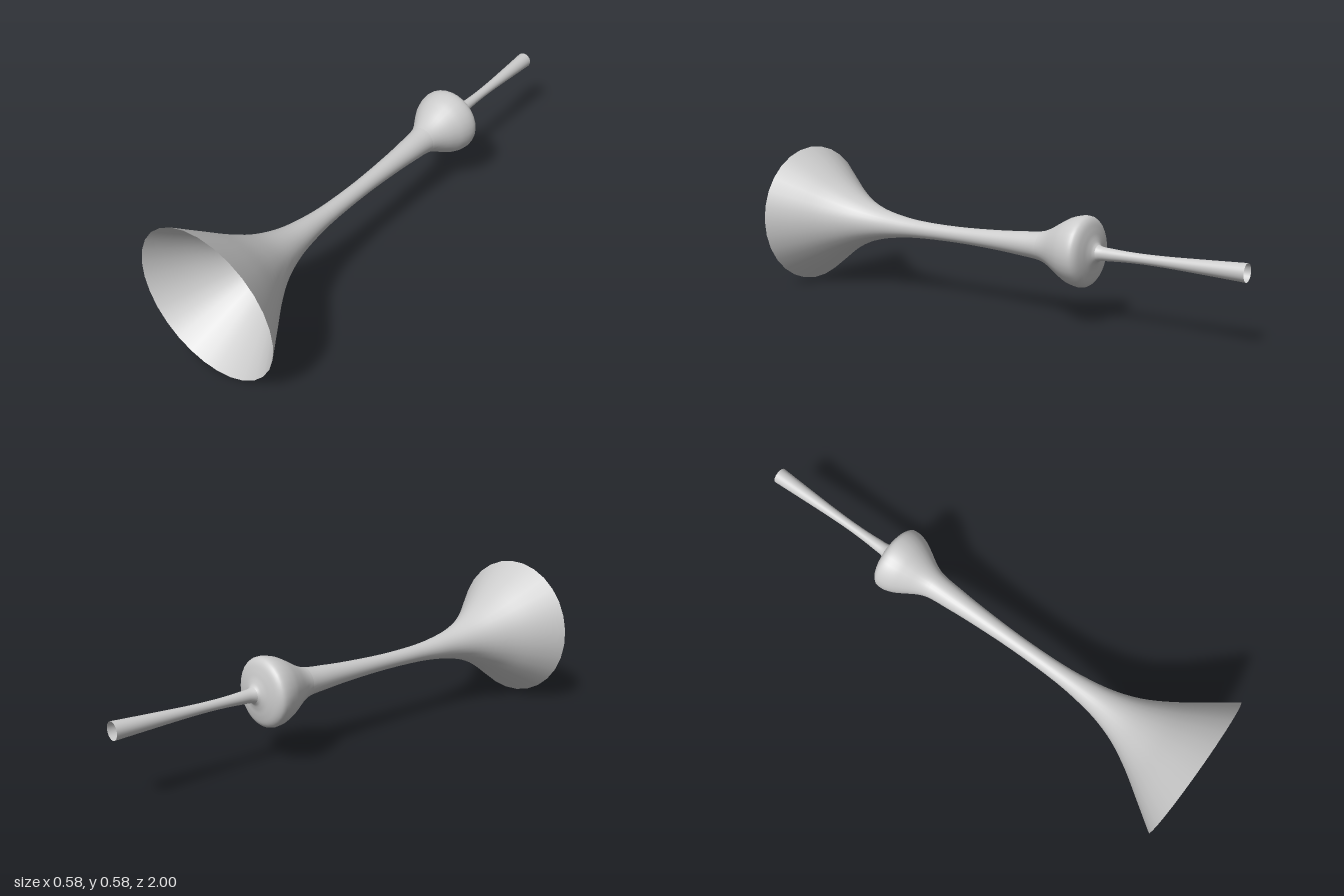
import * as THREE from 'three';

const SIDES = 29;
const AXIS_X = -0.002, AXIS_Y = 0.275;

// Outline of the horn from mouthpiece to bell: [z, radius]
const PROFILE = [
  [-1, 0.033], [-0.85, 0.026], [-0.7, 0.02], [-0.6, 0.019], [-0.5, 0.023], [-0.44, 0.031],
  [-0.427, 0.055], [-0.42, 0.085], [-0.41, 0.115], [-0.395, 0.13], [-0.37, 0.132], [-0.33, 0.121],
  [-0.29, 0.1], [-0.24, 0.071], [-0.2, 0.056], [-0.1, 0.046], [0, 0.039], [0.2, 0.032],
  [0.4, 0.036], [0.5, 0.046], [0.6, 0.064], [0.7, 0.098], [0.8, 0.153], [0.9, 0.222], [1, 0.292],
];

// The bell droops off the tube axis: its centre lifts gradually toward the rim
const lift = (z) => 0.017 * Math.max(0, (z - 0.2) / 0.8) ** 2;

export function createModel() {
  const group = new THREE.Group();
  group.name = 'horn';
  const material = new THREE.MeshStandardMaterial({ color: 0xcccccc, side: THREE.DoubleSide });

  const curve = new THREE.CatmullRomCurve3(PROFILE.map(([z, r]) => new THREE.Vector3(r, z, 0)));
  const steps = (PROFILE.length - 1) * 4;
  const points = Array.from({ length: steps + 1 }, (_, i) => {
    const p = curve.getPoint(i / steps);
    return new THREE.Vector2(p.x, p.y);
  });

  // Turns the outline between two control points into an open shell along z
  function addPart(name, from, to) {
    const geometry = new THREE.LatheGeometry(points.slice(from * 4, to * 4 + 1), SIDES, Math.PI / 2);
    geometry.rotateX(Math.PI / 2);
    const pos = geometry.attributes.position;
    for (let i = 0; i < pos.count; i++) {
      pos.setXY(i, pos.getX(i) + AXIS_X, pos.getY(i) + AXIS_Y + lift(pos.getZ(i)));
    }
    const mesh = new THREE.Mesh(geometry, material);
    mesh.name = name;
    group.add(mesh);
  }

  addPart('mouthpipe', 0, 5);
  addPart('bulb', 5, 14);
  addPart('tube', 14, 18);
  addPart('bell', 18, PROFILE.length - 1);
  return group;
}
